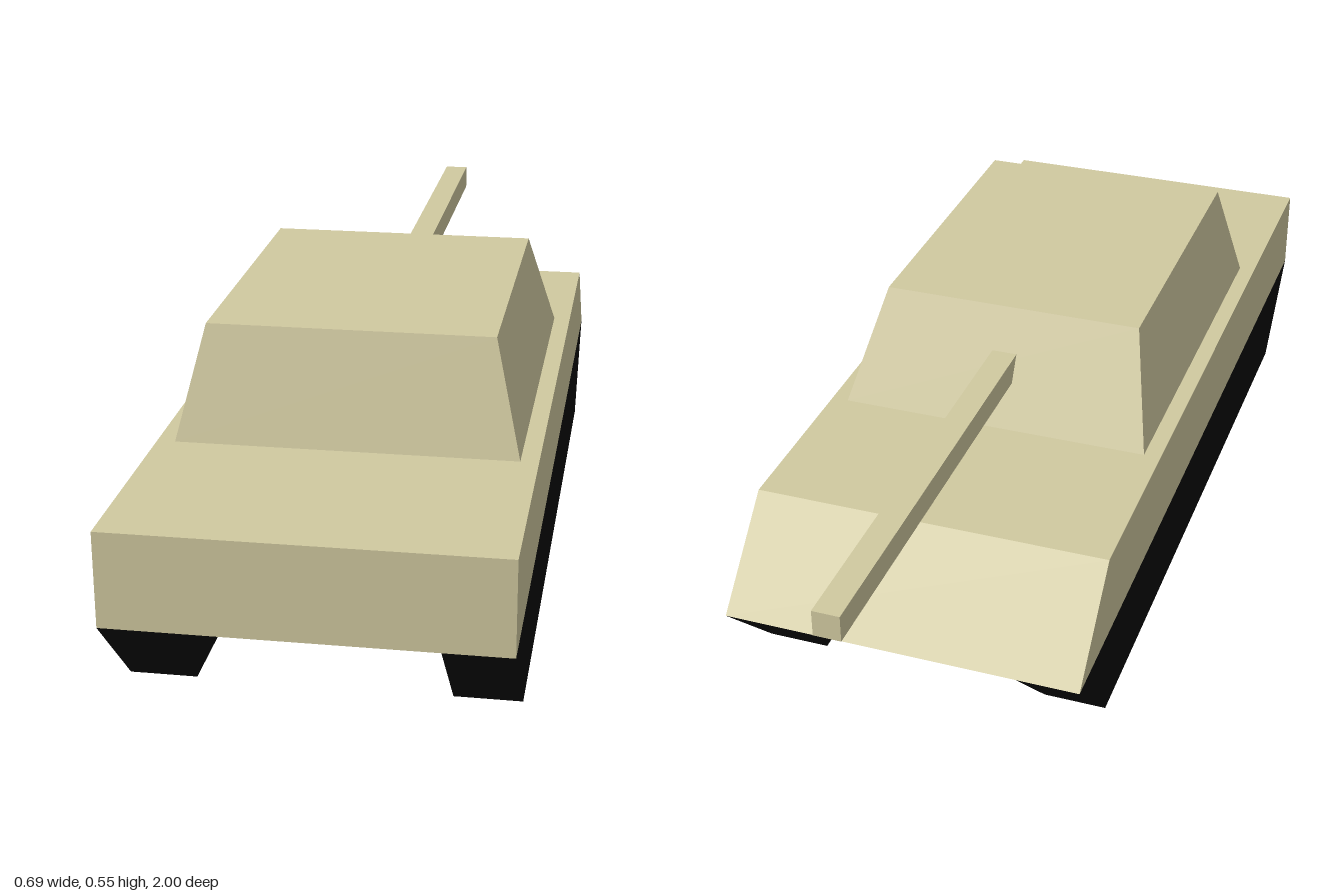
import * as THREE from 'three';

const paint = new THREE.MeshStandardMaterial({ color: 0xd0c9a0, flatShading: true });
const black = new THREE.MeshStandardMaterial({ color: 0x0a0a0a, flatShading: true });

// Six-sided block whose bottom and top rectangles differ: { y, x: [min, max], z: [min, max] }
function block(name, bottom, top, material) {
  const geometry = new THREE.BoxGeometry(2, 2, 2);
  const p = geometry.attributes.position;
  for (let i = 0; i < p.count; i++) {
    const end = p.getY(i) > 0 ? top : bottom;
    p.setXYZ(i, end.x[p.getX(i) > 0 ? 1 : 0], end.y, end.z[p.getZ(i) > 0 ? 1 : 0]);
  }
  geometry.computeVertexNormals();
  const mesh = new THREE.Mesh(geometry, material);
  mesh.name = name;
  return mesh;
}

export function createModel() {
  const tank = new THREE.Group();
  tank.name = 'tank';
  const deck = 0.345, belly = 0.173, half = 0.343;

  // Hull with sloped nose at -z and a black underside
  tank.add(block('hull',
    { y: belly, x: [-half, half], z: [-0.72, 1] },
    { y: deck, x: [-half, half], z: [-0.55, 1] },
    [paint, paint, paint, black, paint, paint]));

  // Tracks, narrowing to the ground at both ends
  for (const [name, x] of [['leftTrack', [0.224, half]], ['rightTrack', [-half, -0.224]]]) {
    tank.add(block(name,
      { y: 0, x, z: [-0.55, 0.83] },
      { y: belly, x, z: [-0.72, 1] },
      black));
  }

  // Turret with four sloped walls
  tank.add(block('turret',
    { y: deck, x: [-0.31, 0.31], z: [-0.205, 0.605] },
    { y: 0.553, x: [-0.26, 0.26], z: [-0.087, 0.55] },
    paint));

  // Square gun barrel, rooted inside the turret
  const bore = { x: [-0.025, 0.025], z: [-1, -0.1] };
  tank.add(block('gunBarrel', { y: 0.425, ...bore }, { y: 0.475, ...bore }, paint));

  return tank;
}
